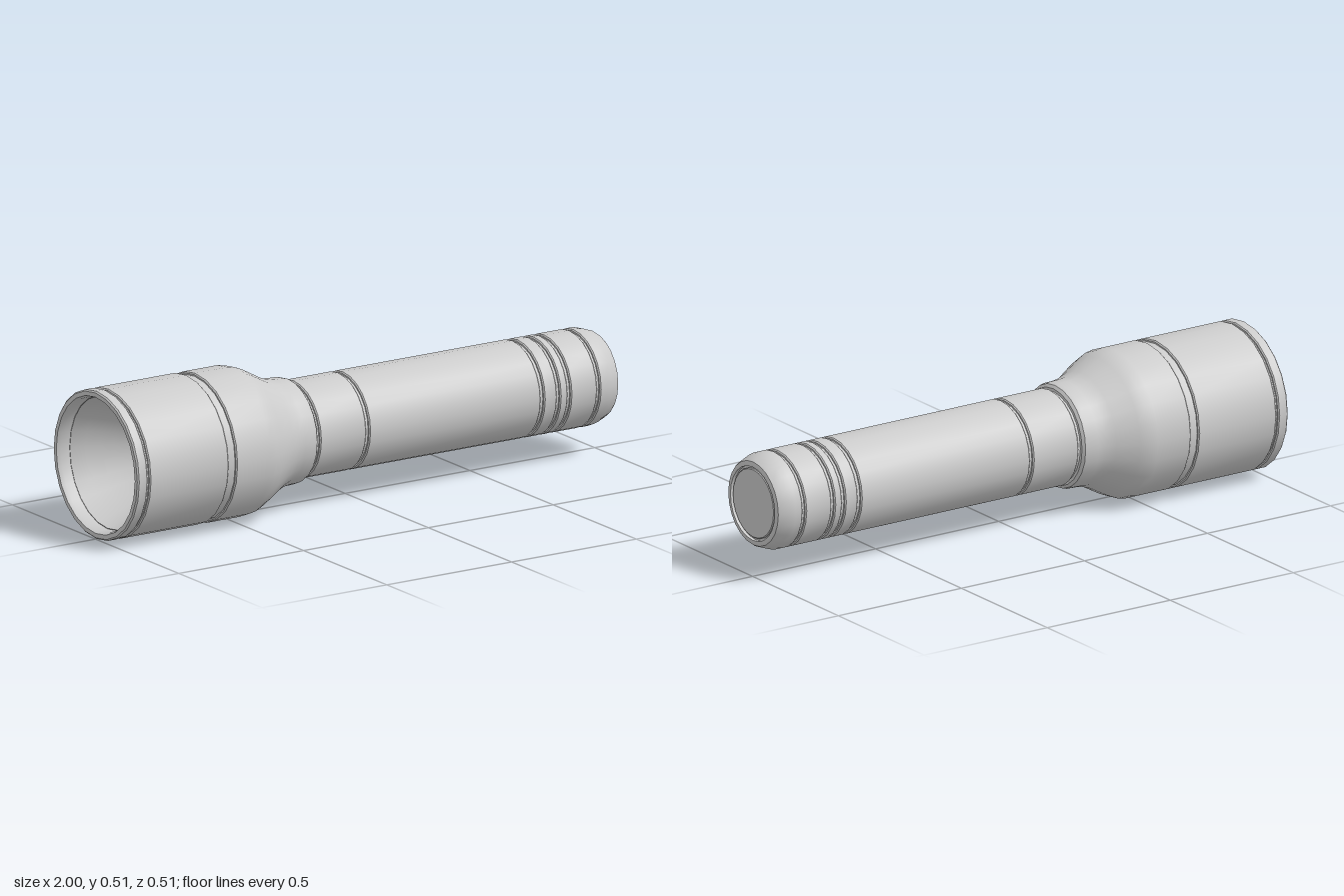
import * as THREE from 'three';
import { toCreasedNormals } from 'three/addons/utils/BufferGeometryUtils.js';

const SIDES = 24;
const AXIS_Y = 0.256;

export function createModel() {
  const model = new THREE.Group();
  const material = new THREE.MeshStandardMaterial({ color: 0xcccccc });

  // Turned part: profile of [x, radius] pairs along the torch's long axis
  function turned(name, profile) {
    const points = profile.map(([x, r]) => new THREE.Vector2(r, x));
    const geometry = toCreasedNormals(new THREE.LatheGeometry(points, SIDES), 0.5);
    geometry.rotateZ(-Math.PI / 2);
    const mesh = new THREE.Mesh(geometry, material);
    mesh.name = name;
    mesh.position.y = AXIS_Y;
    model.add(mesh);
  }

  // Straight sleeve with tiny chamfers and end walls dropping into the grooves
  function sleeve(name, x0, x1, r) {
    const c = 0.004;
    turned(name, [
      [x0, r - 0.03], [x0, r - c], [x0 + c, r],
      [x1 - c, r], [x1, r - c], [x1, r - 0.03],
    ]);
  }

  // Front bezel with its rim, opening into the reflector bowl
  turned('bezel', [
    [-0.95, 0.228], [-0.985, 0.23], [-1, 0.236], [-1, 0.251],
    [-0.995, 0.256], [-0.964, 0.256], [-0.96, 0.252], [-0.96, 0.23],
  ]);
  const bowl = [];
  for (let i = 0; i <= 10; i++) {
    const r = 0.04 + 0.188 * (i / 10);
    bowl.push([-0.63 - 0.32 * (r / 0.228) ** 2, r]);
  }
  turned('reflector', [[-0.64, 0], ...bowl]);
  turned('bulb', [[-0.7, 0], [-0.694, 0.018], [-0.68, 0.026], [-0.63, 0.028]]);

  // Head: grooved front drum, then the shoulder flowing down to the neck
  sleeve('headDrum', -0.952, -0.635, 0.256);
  turned('headShoulder', [
    [-0.605, 0.226], [-0.605, 0.252], [-0.601, 0.256], [-0.47, 0.256],
    [-0.44, 0.251], [-0.41, 0.238], [-0.34, 0.199], [-0.305, 0.186],
    [-0.28, 0.183], [-0.245, 0.182], [-0.23, 0.178], [-0.222, 0.168],
    [-0.222, 0.14],
  ]);

  // Groove floors
  turned('headGrooveFloor', [[-0.97, 0.247], [-0.59, 0.247]]);
  turned('barrelGrooveFloor', [[-0.23, 0.158], [0.92, 0.158]]);

  // Barrel and tail sleeves, separated by narrow grooves
  const cuts = [
    ['neckSleeve', -0.21, -0.025],
    ['barrel', -0.013, 0.674],
    ['tailRingWide', 0.687, 0.739],
    ['tailRingNarrow', 0.751, 0.782],
    ['tailSleeve', 0.794, 0.9],
  ];
  for (const [name, x0, x1] of cuts) sleeve(name, x0, x1, 0.167);

  // Rounded tail cap and its inset button
  turned('tailCap', [
    [0.911, 0.137], [0.911, 0.163], [0.915, 0.167], [0.94, 0.167],
    [0.96, 0.162], [0.99, 0.151], [0.997, 0.146], [1, 0.138],
    [1, 0.129], [0.988, 0.129], [0.988, 0.115],
  ]);
  turned('tailButton', [[0.985, 0.121], [0.994, 0.121], [0.997, 0.118], [0.997, 0]]);

  return model;
}
